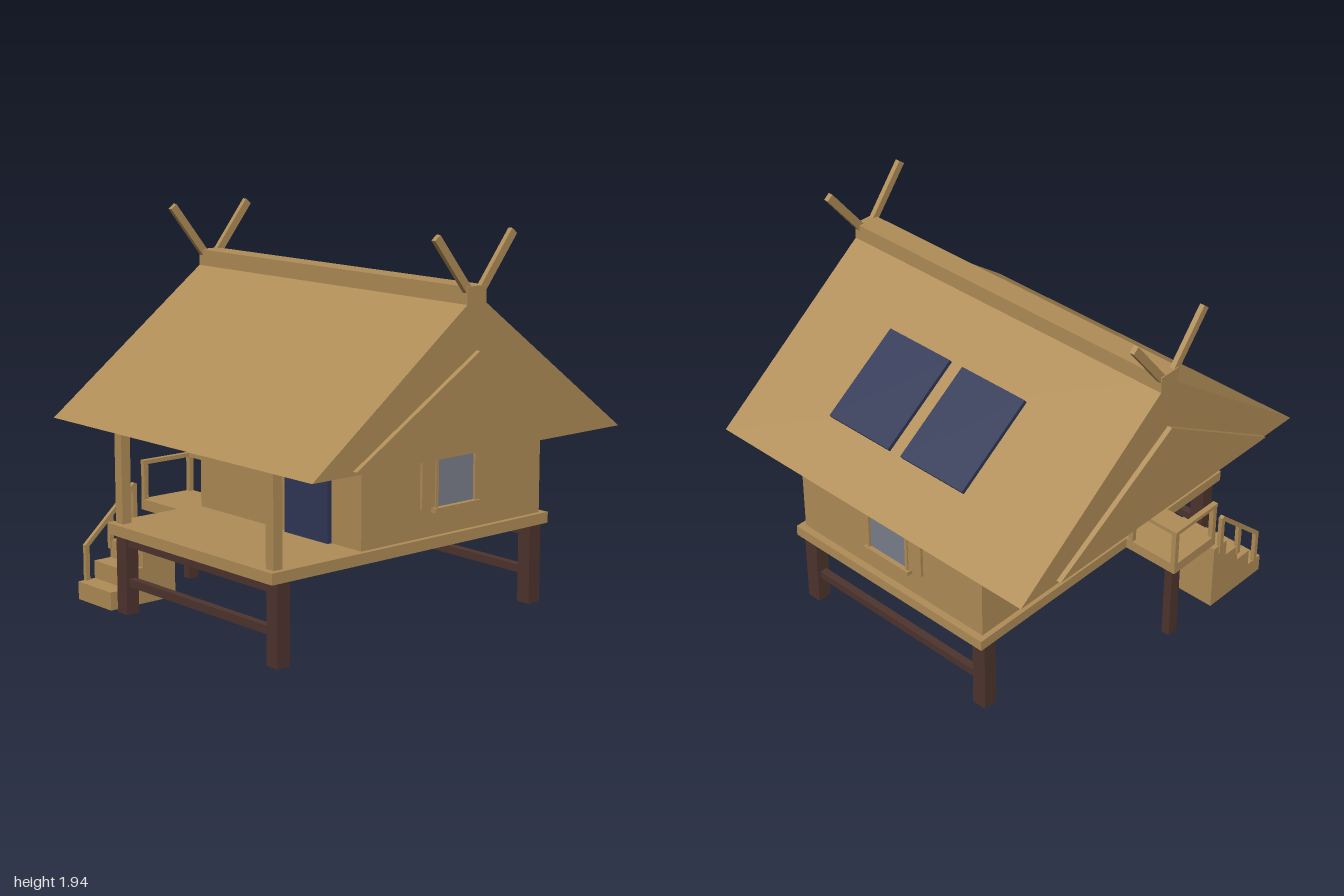
import * as THREE from 'three';

const material = (name, color) => {
  const m = new THREE.MeshStandardMaterial({ color });
  m.name = name;
  return m;
};

export function createModel() {
  const wood = material('wood', 0xb08d57);
  const darkWood = material('darkWood', 0x4e342e);
  const navy = material('navy', 0x303756);
  const glass = material('glass', 0x7b7f8c);
  const model = new THREE.Group();
  model.name = 'stiltHouse';

  const add = (name, geometry, mat, parent = model) => {
    const mesh = new THREE.Mesh(geometry, mat);
    mesh.name = name;
    parent.add(mesh);
    return mesh;
  };

  // Box given by its [min, max] range on each axis
  const box = (name, mat, [x0, x1], [y0, y1], [z0, z1], parent) => {
    const mesh = add(name, new THREE.BoxGeometry(x1 - x0, y1 - y0, z1 - z0), mat, parent);
    mesh.position.set((x0 + x1) / 2, (y0 + y1) / 2, (z0 + z1) / 2);
    return mesh;
  };

  // Outline of [z, y] points extruded from x0 to x1
  const prism = (name, mat, points, x0, x1) => {
    const shape = new THREE.Shape(points.map(([z, y]) => new THREE.Vector2(-z, y)));
    const geometry = new THREE.ExtrudeGeometry(shape, { depth: x1 - x0, bevelEnabled: false });
    geometry.rotateY(Math.PI / 2).translate(x0, 0, 0);
    return add(name, geometry, mat);
  };

  // Slanted bar between two [z, y] points
  const beam = (name, mat, x, [z0, y0], [z1, y1], width, thickness) => {
    const dz = z1 - z0, dy = y1 - y0;
    const mesh = add(name, new THREE.BoxGeometry(width, Math.hypot(dz, dy), thickness), mat);
    mesh.position.set(x, (y0 + y1) / 2, (z0 + z1) / 2);
    mesh.rotation.x = Math.atan2(dz, dy);
    return mesh;
  };

  // Stilts and cross rails
  for (const [z0, z1] of [[0.795, 0.867], [-0.825, -0.75]]) {
    box('stilt', darkWood, [-0.613, -0.535], [0, 0.4], [z0, z1]);
    box('stilt', darkWood, [0.535, 0.613], [0, 0.4], [z0, z1]);
    const mid = (z0 + z1) / 2;
    for (const y of [[0.14, 0.18], [0.34, 0.385]]) {
      box('crossRail', darkWood, [-0.54, 0.54], y, [mid - 0.02, mid + 0.02]);
    }
  }

  // Deck, walls and veranda posts
  box('deck', wood, [-0.627, 0.627], [0.4, 0.455], [-0.862, 0.909]);
  box('walls', wood, [-0.6, 0.6], [0.455, 0.932], [-0.825, 0.355]);
  for (const x of [[-0.6, -0.545], [0.545, 0.6]]) {
    box('verandaPost', wood, x, [0.455, 0.932], [0.825, 0.877]);
  }

  // Door
  box('door', navy, [0.08, 0.393], [0.455, 0.892], [0.35, 0.38]);
  box('doorLintel', wood, [0.017, 0.45], [0.892, 0.93], [0.35, 0.395]);

  // Windows, built facing +z and turned to their walls
  const addWindow = (x, z, turn) => {
    const g = new THREE.Group();
    g.name = 'window';
    box('windowPane', glass, [-0.122, 0.122], [0.595, 0.87], [0, 0.009], g);
    box('windowLintel', wood, [-0.157, 0.157], [0.868, 0.897], [0, 0.022], g);
    box('windowSill', wood, [-0.147, 0.147], [0.57, 0.594], [0, 0.033], g);
    for (const s of [-1, 1]) {
      const span = (a, b) => (s > 0 ? [a, b] : [-b, -a]);
      box('windowJamb', wood, span(0.12, 0.137), [0.594, 0.868], [0, 0.022], g);
      box('shutter', wood, span(0.137, 0.22), [0.597, 0.867], [0, 0.015], g);
    }
    g.position.set(x, 0, z);
    g.rotation.y = turn;
    model.add(g);
  };
  addWindow(0.6, -0.235, Math.PI / 2);
  addWindow(-0.6, -0.235, -Math.PI / 2);
  addWindow(0, -0.825, Math.PI);

  // Roof with gable panels, ridge cap and crossed finials
  prism('roof', wood, [[0.972, 0.93], [0, 1.656], [-0.972, 0.93]], -0.975, 0.975);
  box('ridgeCap', wood, [-0.975, 0.975], [1.6, 1.692], [-0.06, 0.06]);
  for (const s of [-1, 1]) {
    const [x0, x1] = s > 0 ? [0.97, 1] : [-1, -0.97];
    prism('gablePanel', wood, [[0.74, 0.95], [0, 1.4], [-0.74, 0.95]], x0, x1);
    for (const t of [-1, 1]) {
      beam('ridgeFinial', wood, s * 0.957, [t * 0.042, 1.673], [t * 0.241, 1.923], 0.025, 0.04);
    }
  }

  // Solar panels over the back slope
  for (const x of [-0.237, 0.235]) {
    beam('solarPanel', navy, x, [-0.355, 1.458], [-0.77, 1.168], 0.393, 0.022);
  }

  // Side landing with its post and railing
  box('landing', wood, [-0.93, -0.62], [0.4, 0.455], [0.17, 0.485]);
  box('landingStilt', darkWood, [-0.918, -0.872], [0, 0.4], [0.17, 0.23]);
  for (const [x, z] of [[-0.93, 0.17], [-0.93, 0.457], [-0.665, 0.17]]) {
    box('railingPost', wood, [x, x + 0.026], [0.455, 0.637], [z, z + 0.026]);
  }
  box('railingTop', wood, [-0.932, -0.904], [0.635, 0.656], [0.168, 0.485]);
  box('railingTop', wood, [-0.906, -0.635], [0.635, 0.656], [0.168, 0.198]);

  // Stairs
  const steps = [[0.485, 0]];
  for (let i = 0; i < 4; i++) {
    const h = 0.0913 * (i + 1);
    steps.push([0.88 - i * 0.099, h - 0.0913], [0.88 - i * 0.099, h]);
  }
  steps.push([0.485, 0.365]);
  prism('stairs', wood, steps, -0.93, -0.653);

  // Stair handrail
  for (const [z, y0, y1] of [[0.83, 0.09, 0.27], [0.68, 0.23, 0.4], [0.533, 0.32, 0.54]]) {
    box('handrailPost', wood, [-0.938, -0.916], [y0, y1], [z - 0.012, z + 0.012]);
  }
  beam('handrail', wood, -0.927, [0.838, 0.262], [0.53, 0.54], 0.022, 0.022);

  return model;
}
